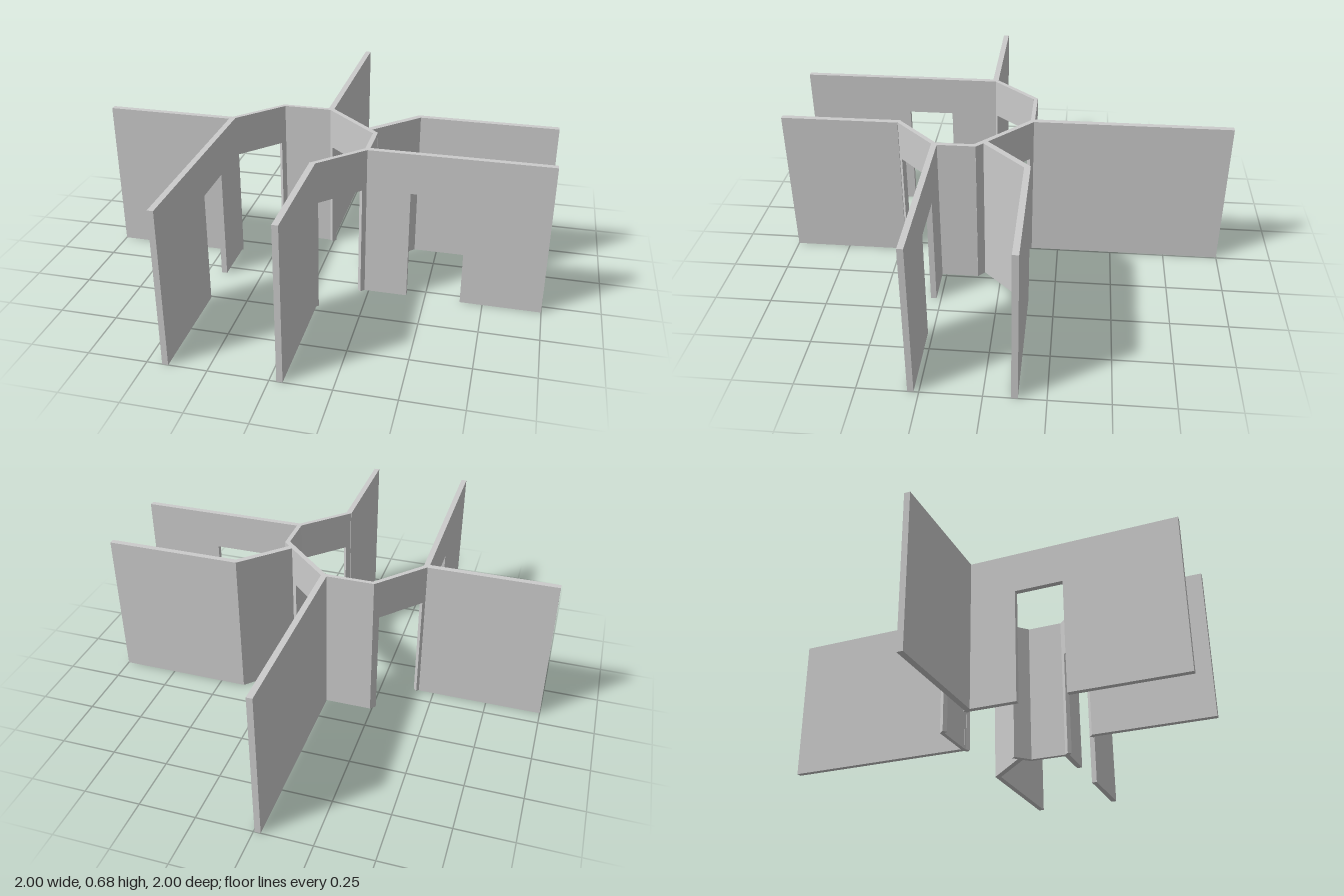
import * as THREE from 'three';

const HEIGHT = 0.68, DOOR_HEIGHT = 0.5;
const material = new THREE.MeshStandardMaterial({ color: 0xcccccc, flatShading: true });

// One wall panel from a to b, with an optional doorway [from, to] along its length.
// startCut and endCut are the tangents of the mitre angles at its two ends.
function wallPanel(a, b, thickness, door, startCut, endCut, name) {
  const length = Math.hypot(b[0] - a[0], b[1] - a[1]);
  const outline = [[0, 0]];
  if (door) outline.push([door[0], 0], [door[0], DOOR_HEIGHT], [door[1], DOOR_HEIGHT], [door[1], 0]);
  outline.push([length, 0], [length, HEIGHT], [0, HEIGHT]);
  const shape = new THREE.Shape(outline.map(p => new THREE.Vector2(...p)));
  const geometry = new THREE.ExtrudeGeometry(shape, { depth: thickness, bevelEnabled: false });
  geometry.translate(0, 0, -thickness / 2);

  // Slant the ends so that neighbouring panels meet on the mitre plane
  const pos = geometry.attributes.position;
  for (let i = 0; i < pos.count; i++) {
    const x = pos.getX(i), z = pos.getZ(i);
    if (x < 1e-5) pos.setX(i, x - z * startCut);
    else if (x > length - 1e-5) pos.setX(i, x + z * endCut);
  }
  geometry.computeVertexNormals();

  const mesh = new THREE.Mesh(geometry, material);
  mesh.position.set(a[0], 0, a[1]);
  mesh.rotation.y = Math.atan2(a[1] - b[1], b[0] - a[0]);
  mesh.name = name;
  return mesh;
}

// A chain of mitred panels through plan points [x, z]
function wallRun(name, points, panels) {
  const group = new THREE.Group();
  group.name = name;
  const angles = panels.map((_, i) =>
    Math.atan2(points[i][1] - points[i + 1][1], points[i + 1][0] - points[i][0]));
  const cut = i => (i < 1 || i >= panels.length) ? 0 : Math.tan((angles[i] - angles[i - 1]) / 2);
  panels.forEach(([panelName, thickness, door], i) =>
    group.add(wallPanel(points[i], points[i + 1], thickness, door, cut(i), cut(i + 1), panelName)));
  return group;
}

export function createModel() {
  const model = new THREE.Group();
  model.name = 'roomPartitions';

  // Continuous wall around the central hall
  model.add(wallRun('hallWalls',
    [[-1, 0.085], [-0.425, 0.085], [-0.238, -0.12], [-0.015, -0.12],
      [0.23, 0.11], [0.23, 0.283], [0.042, 0.47], [0.042, 1]],
    [
      ['rightOuterWall', 0.026],
      ['rightDoorWall', 0.02, [0.02, 0.25]],
      ['backHallWall', 0.018],
      ['backDoorWall', 0.022, [0.023, 0.243]],
      ['leftHallWall', 0.02],
      ['frontDoorWall', 0.02, [0.03, 0.245]],
      ['frontOuterWall', 0.025],
    ]));

  // Partitions branching off the hall
  model.add(wallRun('frontRightPartition', [[-0.423, 0.075], [-0.423, 1]],
    [['frontRightWall', 0.025, [0.225, 0.435]]]));
  model.add(wallRun('backPartition', [[-0.018, -0.11], [-0.018, -1]],
    [['backWall', 0.026]]));
  model.add(wallRun('backLeftPartition', [[0.195, 0.072], [0.39, -0.124], [1, -0.124]],
    [['angledWall', 0.026], ['backLeftWall', 0.026]]));
  model.add(wallRun('frontLeftPartition', [[0.225, 0.283], [1, 0.283]],
    [['frontLeftWall', 0.025, [0.193, 0.428]]]));

  return model;
}
